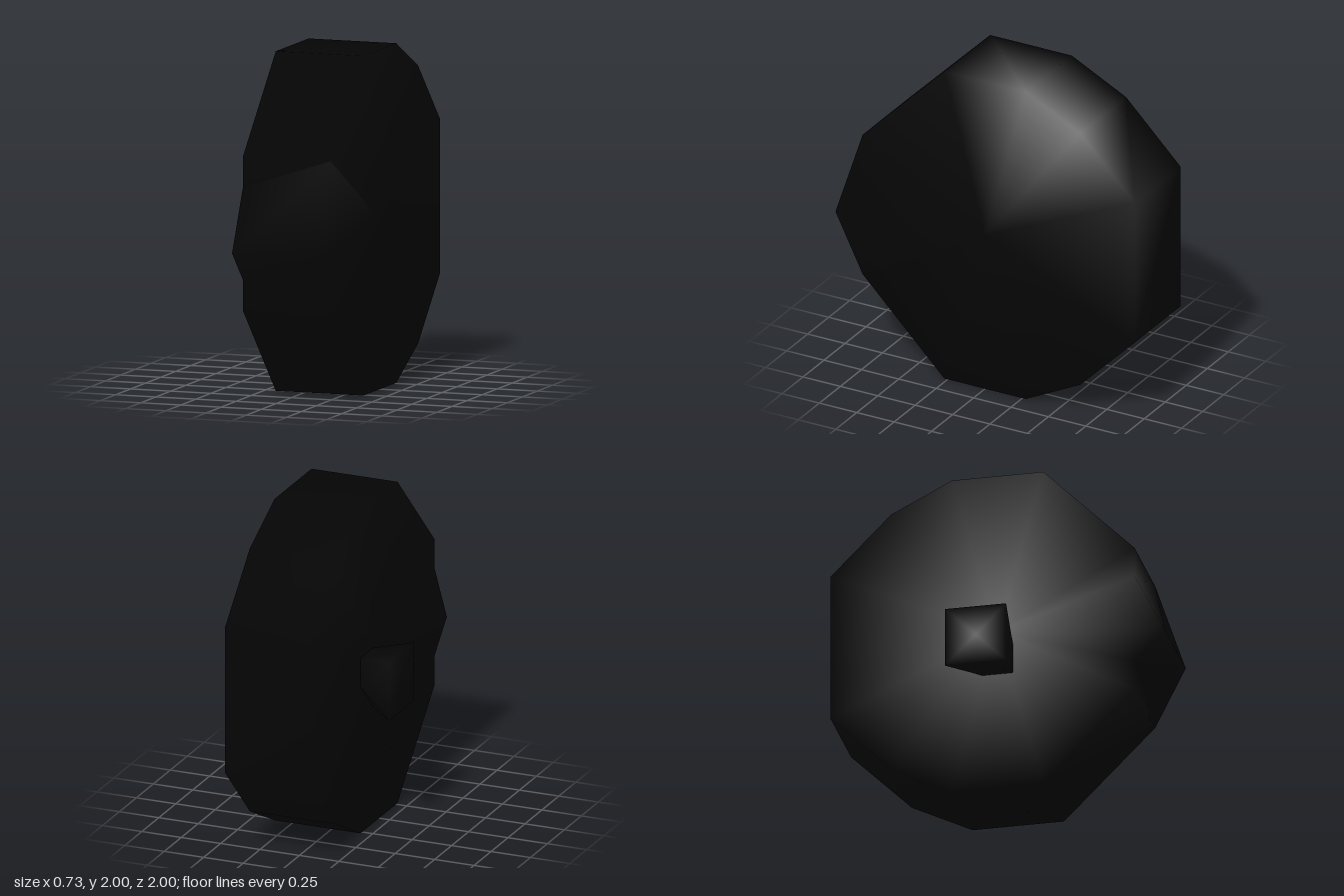
import * as THREE from 'three';

const UNIT = 1 / 5.5; // profiles are laid out on an 11-step grid

// Closed solid between two [z, y] outlines of equal length at xa < xb
function loft(xa, outlineA, xb, outlineB, centre) {
  const n = outlineA.length;
  const positions = [];
  const index = [];
  const add = (x, [z, y]) => positions.push(x * UNIT, y * UNIT, z * UNIT);
  outlineA.forEach((p) => add(xa, p));
  outlineB.forEach((p) => add(xb, p));
  add(xa, centre);
  add(xb, centre);
  for (let i = 0; i < n; i++) {
    const j = (i + 1) % n;
    index.push(i, n + i, n + j, i, n + j, j); // rim
    index.push(2 * n, i, j, 2 * n + 1, n + j, n + i); // end faces
  }
  const geometry = new THREE.BufferGeometry();
  geometry.setAttribute('position', new THREE.Float32BufferAttribute(positions, 3));
  geometry.setIndex(index);
  geometry.computeVertexNormals();
  return geometry;
}

export function createModel() {
  const group = new THREE.Group();
  const rubber = new THREE.MeshStandardMaterial({ color: 0x060606 });
  rubber.name = 'black rubber';

  const addPart = (name, geometry) => {
    const mesh = new THREE.Mesh(geometry, rubber);
    mesh.name = name;
    group.add(mesh);
  };

  // Wheel: the front ridge narrows towards the hub side
  const rest = [[1.5, 11], [-1.5, 11], [-3.5, 10], [-5.5, 8],
    [-5.5, 3], [-3.5, 1], [-1.5, 0], [1.5, 0]];
  const hubSide = [[4.5, 3], [4.5, 4], [5.5, 5], [4.5, 7], [4.5, 8], ...rest];
  const outerSide = [[4.5, 3], [4.5, 3], [5.5, 5], [4.5, 8], [4.5, 8], ...rest];
  addPart('wheel', loft(-1, hubSide, 2, outerSide, [0, 5.5]));

  // Hub: square end on a six-sided base
  const hubEnd = [[0.5, 4], [0.5, 6], [-0.5, 6], [-1.5, 6], [-1.5, 4], [-0.5, 4]];
  const hubBase = [[0.5, 4], [0.5, 5], [-0.5, 6], [-1.5, 6], [-1.5, 5], [-0.5, 4]];
  addPart('hub', loft(-2, hubEnd, -1, hubBase, [-0.5, 5]));

  return group;
}
